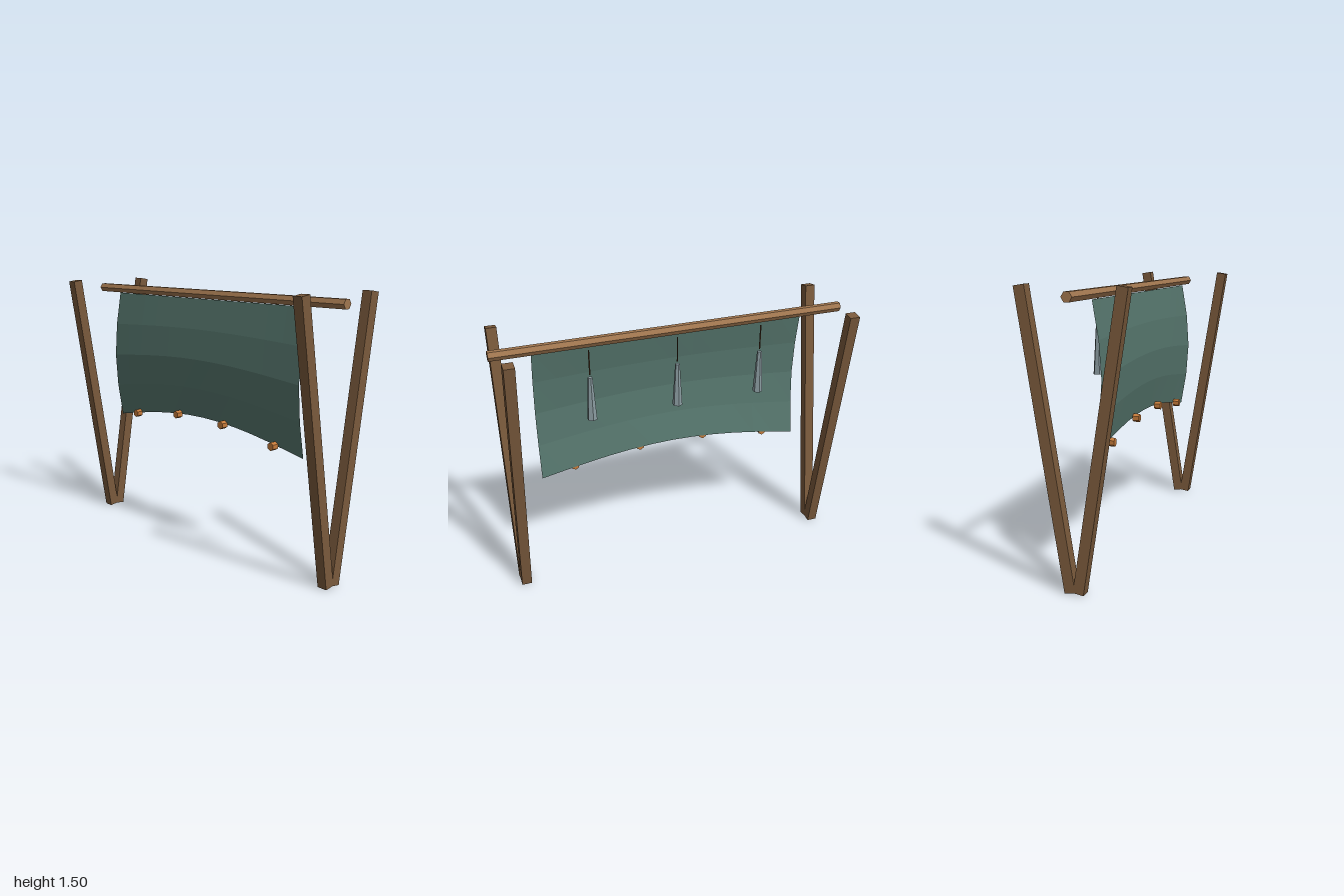
import * as THREE from 'three';

const material = (color, side = THREE.FrontSide) =>
  new THREE.MeshStandardMaterial({ color, side, flatShading: true });

const legWood = material(0x7a5a3c);
const beamWood = material(0xa0764f);
const clothGreen = material(0x56766d, THREE.DoubleSide);
const metal = material(0x8a9ba0);
const cordBrown = material(0x5a4028);
const pegOrange = material(0xc47a3a);

const CLOTH_TOP = 1.425;
const CLOTH_WIDTH = 1.55;

// Arched lower hem; u runs 0..1 across the cloth
const hemHeight = (u) => 0.65 + 0.095 * Math.sin(Math.PI * u);

function add(parent, name, geometry, mat, x, y, z) {
  const mesh = new THREE.Mesh(geometry, mat);
  mesh.name = name;
  mesh.position.set(x, y, z);
  parent.add(mesh);
  return mesh;
}

// Hanging sheet that billows forward between its top edge and its hem
function clothGeometry() {
  const geometry = new THREE.PlaneGeometry(1, 1, 12, 4);
  const p = geometry.attributes.position;
  for (let i = 0; i < p.count; i++) {
    const u = p.getX(i) + 0.5;
    const v = 0.5 - p.getY(i);
    p.setXYZ(
      i,
      (u - 0.5) * CLOTH_WIDTH,
      THREE.MathUtils.lerp(CLOTH_TOP, hemHeight(u), v),
      0.033 + 0.046 * Math.sin(Math.PI * v)
    );
  }
  geometry.computeVertexNormals();
  return geometry;
}

export function createModel() {
  const model = new THREE.Group();
  model.name = 'hangingFrame';

  // V-shaped pairs of legs at both ends
  const legGeometry = new THREE.BoxGeometry(0.057, 1.513, 0.057);
  for (const sx of [-1, 1]) {
    const pair = new THREE.Group();
    pair.name = sx > 0 ? 'leftLegs' : 'rightLegs';
    for (const sz of [-1, 1]) {
      const leg = add(pair, sz > 0 ? 'frontLeg' : 'backLeg', legGeometry, legWood,
        sx * 0.937, 0.752, sz * 0.14);
      leg.rotation.x = sz * 0.157;
    }
    model.add(pair);
  }

  // Hexagonal cross beam
  add(model, 'beam', new THREE.CylinderGeometry(0.028, 0.028, 2, 6), beamWood, 0, 1.449, 0)
    .rotation.z = Math.PI / 2;

  // Cloth
  add(model, 'cloth', clothGeometry(), clothGreen, 0, 0, 0);

  // Weights along the hem
  const pegGeometry = new THREE.CylinderGeometry(0.023, 0.023, 0.037, 6);
  for (const u of [0.125, 0.375, 0.625, 0.875]) {
    add(model, 'hemWeight', pegGeometry, pegOrange,
      (u - 0.5) * CLOTH_WIDTH, hemHeight(u), 0.057).rotation.x = Math.PI / 2;
  }

  // Chimes on cords behind the cloth
  const cordGeometry = new THREE.CylinderGeometry(0.004, 0.004, 0.14, 5);
  const bellGeometry = new THREE.CylinderGeometry(0.013, 0.028, 0.247, 6);
  for (const x of [-0.49, 0, 0.49]) {
    const chime = new THREE.Group();
    chime.name = 'chime';
    add(chime, 'cord', cordGeometry, cordBrown, 0, 1.354, 0);
    add(chime, 'bell', bellGeometry, metal, 0, 1.145, 0);
    chime.position.set(x, 0, -0.05);
    model.add(chime);
  }

  return model;
}
